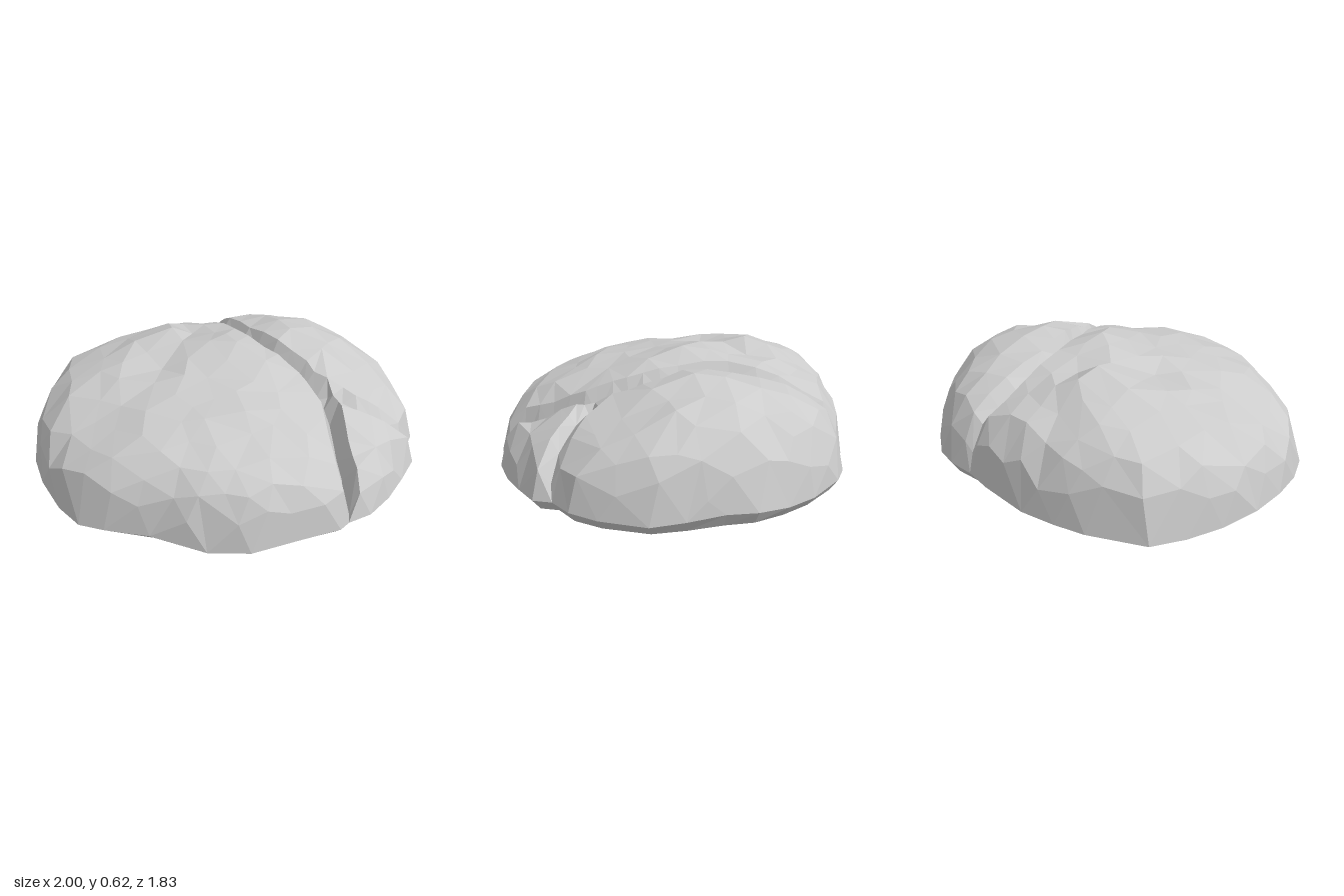
import * as THREE from 'three';
import { ConvexGeometry } from 'three/addons/geometries/ConvexGeometry.js';

// Outer outline, as [x, z], counter-clockwise from above
const outline = [[1, 0], [0.99, -0.15], [0.92, -0.37], [0.82, -0.5], [0.7, -0.63], [0.6, -0.74],
  [0.45, -0.82], [0.3, -0.88], [0.1, -0.92], [-0.02, -0.9], [-0.14, -0.84], [-0.27, -0.8],
  [-0.5, -0.7], [-0.65, -0.6], [-0.78, -0.5], [-0.98, -0.28], [-1, -0.1], [-1, 0.08], [-0.97, 0.28],
  [-0.89, 0.46], [-0.77, 0.63], [-0.65, 0.75], [-0.52, 0.8], [-0.3, 0.84], [-0.03, 0.91], [0.17, 0.91],
  [0.38, 0.83], [0.58, 0.75], [0.62, 0.7], [0.73, 0.63], [0.83, 0.5], [0.91, 0.36], [0.98, 0.22], [0.95, 0.13]];

// Crevice floors, as [x, z, y]
const longCrevice = [[-0.14, -0.84, 0.06], [-0.11, -0.75, 0.32], [-0.04, -0.55, 0.43], [0.08, -0.32, 0.48],
  [0.24, -0.13, 0.48], [0.38, 0, 0.44], [0.47, 0.12, 0.38], [0.54, 0.25, 0.31], [0.57, 0.42, 0.22],
  [0.6, 0.58, 0.12], [0.62, 0.7, 0.04]];
const sideCrevice = [[0.38, 0, 0.44], [0.53, 0.13, 0.4], [0.68, 0.18, 0.36], [0.82, 0.18, 0.27], [0.95, 0.13, 0.05]];

// Profile from the crown down to the rim: [distance along it, relative radius, height]
const profile = [[0, 0, 0.58], [0.3, 0.35, 0.555], [0.42, 0.5, 0.53], [0.55, 0.65, 0.485], [0.68, 0.8, 0.43],
  [0.78, 0.9, 0.36], [0.86, 0.955, 0.28], [0.92, 0.985, 0.2], [1, 1, 0.08]];

// Bumps and dents, as [x, z, height, radius]
const bumps = [[-0.36, -0.27, 0.06, 0.15], [-0.18, -0.32, -0.03, 0.1], [0.05, -0.1, 0.05, 0.16],
  [-0.45, -0.48, -0.04, 0.1], [-0.3, 0.13, -0.04, 0.12], [0.38, -0.35, 0.04, 0.2], [-0.62, 0.02, 0.02, 0.12],
  [0.85, 0.42, -0.06, 0.16], [0.62, 0.45, -0.08, 0.12], [0.68, 0.24, -0.03, 0.1], [0.6, -0.5, 0.04, 0.2],
  [0.78, 0.06, -0.05, 0.2], [0.42, 0.3, -0.02, 0.2], [-0.14, -0.58, -0.03, 0.12], [-0.62, 0.52, -0.04, 0.22]];

// Look up a column of the profile from another column
function lookup(value, from, to) {
  const k = Math.max(1, profile.findIndex(p => p[from] >= value - 1e-6));
  const a = profile[k - 1], b = profile[k];
  return a[to] + (b[to] - a[to]) * (value - a[from]) / (b[from] - a[from]);
}

// Distance from the middle to the outline in the direction of (x, z)
function edgeRadius(x, z) {
  for (let i = 0; i < outline.length; i++) {
    const [ax, az] = outline[i], [bx, bz] = outline[(i + 1) % outline.length];
    const ex = bx - ax, ez = bz - az;
    const det = ex * z - ez * x;
    const u = (az * x - ax * z) / det;
    const r = (ex * az - ez * ax) / det;
    if (u >= -1e-5 && u <= 1 + 1e-5 && r > 0) return r * Math.hypot(x, z);
  }
  return 1;
}

// The surface unrolled onto a unit disc
function unroll([x, z, y]) {
  const length = Math.hypot(x, z);
  const w = lookup(Math.min(1, length / edgeRadius(x, z)), 1, 0);
  return { a: x / length * w, b: z / length * w, y };
}

const crevices = [longCrevice, sideCrevice].map(list => list.map(unroll));

function rimHeight(x, z) {
  return 0.05 + 0.015 * Math.sin(x * 7 + z * 5) + 0.05 * Math.max(0, Math.min(1, x - z - 0.3));
}

// Cut the crevices into a height at a point of the disc
function cutCrevices(a, b, height) {
  let result = height;
  for (const line of crevices) {
    for (let i = 0; i + 1 < line.length; i++) {
      const p = line[i], q = line[i + 1];
      const da = q.a - p.a, db = q.b - p.b;
      const u = THREE.MathUtils.clamp(((a - p.a) * da + (b - p.b) * db) / (da * da + db * db), 0, 1);
      const distance = Math.hypot(a - p.a - da * u, b - p.b - db * u);
      const floor = p.y + (q.y - p.y) * u;
      result = Math.min(result, height + (floor - height) * Math.exp(-distance / 0.025));
    }
  }
  return result;
}

// Roll a point of the disc back onto the rock
function rockPoint(a, b) {
  const w = Math.hypot(a, b);
  const s = lookup(Math.min(1, w), 0, 1);
  const r = w > 1e-6 ? edgeRadius(a, b) * s / w : 0;
  const x = a * r, z = b * r;
  if (w > 0.999) return [x, rimHeight(x, z), z];
  let y = lookup(w, 0, 2) - 0.04 * z * (1 - s ** 8);
  for (const [bx, bz, h, radius] of bumps) y += h * Math.exp(-((x - bx) ** 2 + (z - bz) ** 2) / (radius * radius));
  y += 0.012 * Math.sin(a * 91 + b * 57);
  return [x, cutCrevices(a, b, y), z];
}

// Scattered points that keep to the rim, the crevice floors and the crevice edges
function discPoints() {
  const points = [];
  const place = (a, b, gap) => {
    if (points.every(p => Math.hypot(p.a - a, p.b - b) > gap)) points.push({ a, b });
  };
  for (const corner of outline) {
    const { a, b } = unroll(corner);
    place(a, b, 0);
  }
  for (const side of [0, 0.045, -0.045]) {
    for (const line of crevices) {
      for (let i = 0; i + 1 < line.length; i++) {
        const p = line[i], q = line[i + 1];
        const da = q.a - p.a, db = q.b - p.b, length = Math.hypot(da, db);
        for (const u of [0, 0.5]) {
          const a = p.a + da * u - db / length * side, b = p.b + db * u + da / length * side;
          if (Math.hypot(a, b) < 0.97) place(a, b, 0.035);
        }
      }
    }
  }
  let seed = 17;
  const random = () => (seed = (seed * 16807) % 2147483647) / 2147483647;
  for (let i = 0; i < 4000; i++) {
    const angle = random() * Math.PI * 2, w = Math.sqrt(random()) * 0.94;
    place(Math.cos(angle) * w, Math.sin(angle) * w, 0.1);
  }
  return points;
}

// Faces between the points: the lower hull of the points lifted onto a bowl
function topGeometry() {
  const bowl = discPoints().map(({ a, b }) => new THREE.Vector3(a, a * a + b * b, b));
  const hull = new ConvexGeometry(bowl).getAttribute('position');
  const corner = i => new THREE.Vector3().fromBufferAttribute(hull, i);
  const positions = [];
  for (let i = 0; i < hull.count; i += 3) {
    const p = corner(i), q = corner(i + 1), r = corner(i + 2);
    const facing = (q.z - p.z) * (r.x - p.x) - (q.x - p.x) * (r.z - p.z);
    if (facing < 0) for (const v of [p, r, q]) positions.push(...rockPoint(v.x, v.z));
  }
  return faceted(positions);
}

// Underside: a narrow bevel and a flat bottom
function baseGeometry() {
  const levels = [[1, 1], [0.955, 0.35], [0.86, 0], [0, 0]];
  const at = (level, i) => {
    const [x, z] = outline[i % outline.length], [scale, lift] = levels[level];
    return [x * scale, rimHeight(x, z) * lift, z * scale];
  };
  const positions = [];
  for (let k = 0; k < 3; k++) {
    for (let i = 0; i < outline.length; i++) {
      positions.push(...at(k, i), ...at(k + 1, i), ...at(k, i + 1));
      if (k < 2) positions.push(...at(k, i + 1), ...at(k + 1, i), ...at(k + 1, i + 1));
    }
  }
  return faceted(positions);
}

function faceted(positions) {
  const geometry = new THREE.BufferGeometry();
  geometry.setAttribute('position', new THREE.Float32BufferAttribute(positions, 3));
  geometry.computeVertexNormals();
  return geometry;
}

export function createModel() {
  const group = new THREE.Group();
  const material = new THREE.MeshStandardMaterial({ color: 0xcccccc, flatShading: true });
  const parts = { rockTop: topGeometry(), rockBase: baseGeometry() };
  for (const [name, geometry] of Object.entries(parts)) {
    const mesh = new THREE.Mesh(geometry, material);
    mesh.name = name;
    group.add(mesh);
  }
  return group;
}
